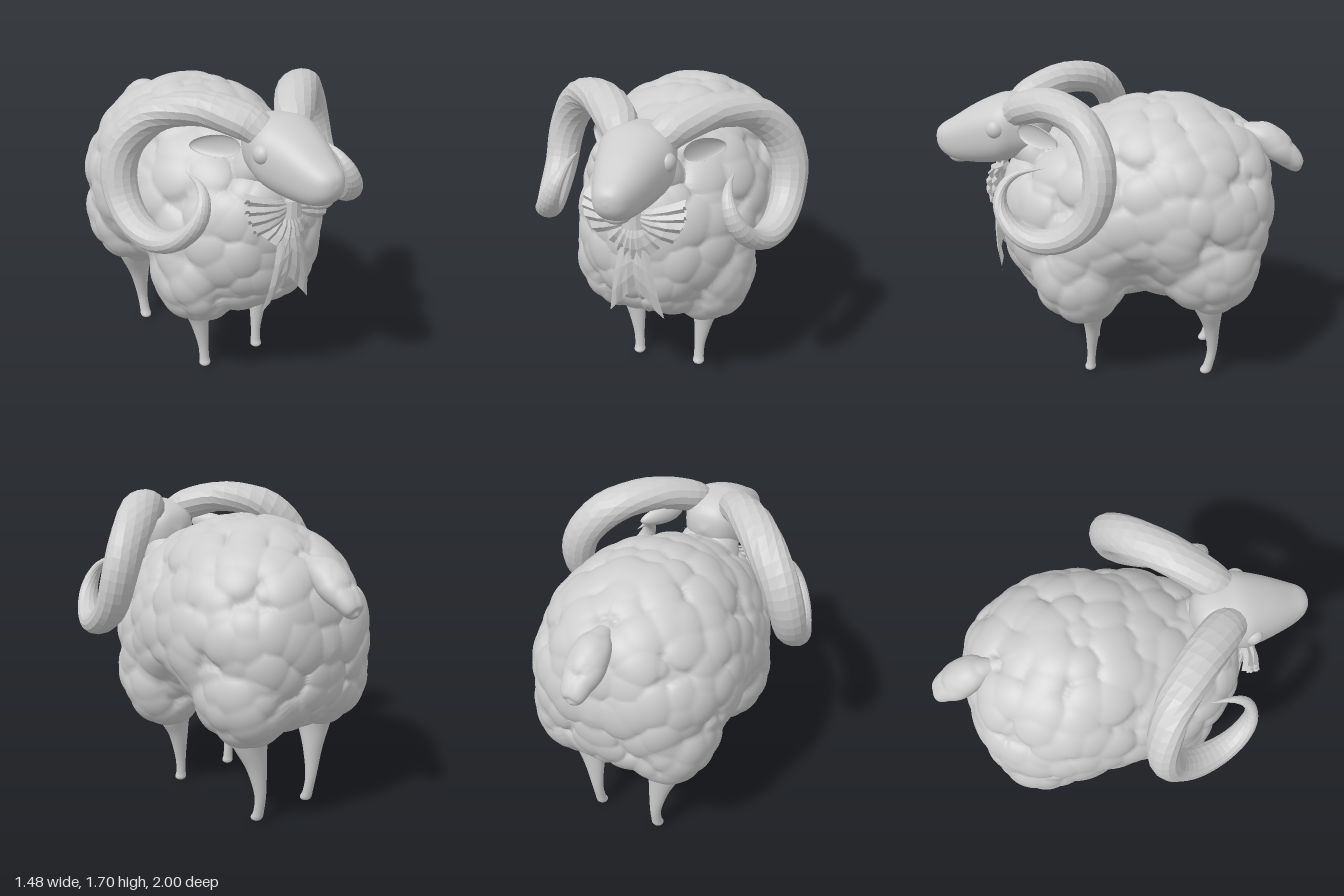
import * as THREE from 'three';
import { mergeVertices } from 'three/addons/utils/BufferGeometryUtils.js';

const V = (x, y, z) => new THREE.Vector3(x, y, z);
const smooth = new THREE.MeshStandardMaterial({ color: 0xcccccc });
const faceted = new THREE.MeshStandardMaterial({ color: 0xcccccc, flatShading: true });
const ribbon = new THREE.MeshStandardMaterial({ color: 0xcccccc, flatShading: true, side: THREE.DoubleSide });

// Skin through oval sections; keys are [x, y, z, sideRadius, upRadius]
function loft(keys, rings, sides, axis = null, power = 1) {
  const path = new THREE.CatmullRomCurve3(keys.map(k => V(k[0], k[1], k[2])), false, 'catmullrom', 0.5);
  const radii = new THREE.CatmullRomCurve3(keys.map(k => V(k[3], k[4], 0)), false, 'catmullrom', 0.5);
  const pos = [], index = [];
  const bend = v => Math.sign(v) * Math.abs(v) ** power;
  for (let i = 0; i <= rings; i++) {
    const c = path.getPoint(i / rings), r = radii.getPoint(i / rings);
    const T = axis || path.getTangent(i / rings);
    const S = V(1, 0, 0).addScaledVector(T, -T.x).normalize();
    const U = T.clone().cross(S);
    for (let j = 0; j < sides; j++) {
      const a = j / sides * Math.PI * 2;
      const p = c.clone().addScaledVector(S, bend(Math.cos(a)) * Math.max(r.x, 0))
        .addScaledVector(U, bend(Math.sin(a)) * Math.max(r.y, 0));
      pos.push(p.x, p.y, p.z);
      if (i < rings) {
        const k = i * sides, n = (j + 1) % sides;
        index.push(k + j, k + n, k + sides + n, k + j, k + sides + n, k + sides + j);
      }
    }
  }
  const g = new THREE.BufferGeometry();
  g.setAttribute('position', new THREE.Float32BufferAttribute(pos, 3));
  g.setIndex(index);
  return weld(g);
}

function weld(g) {
  g.deleteAttribute('normal');
  g.deleteAttribute('uv');
  const w = mergeVertices(g, 1e-5);
  w.computeVertexNormals();
  return w;
}

// Repeatable value in 0..1 for a grid cell
function hash(x, y, z, k) {
  const h = Math.sin(x * 127.1 + y * 311.7 + z * 74.7 + k * 53.3) * 43758.5453;
  return h - Math.floor(h);
}

// Distance to the nearest wool curl centre
function curlDistance(x, y, z, cell) {
  const c = [x, y, z].map(v => Math.floor(v / cell));
  let best = 9;
  for (let i = -1; i < 2; i++) for (let j = -1; j < 2; j++) for (let k = -1; k < 2; k++) {
    const a = c[0] + i, b = c[1] + j, d = c[2] + k;
    best = Math.min(best, Math.hypot((a + hash(a, b, d, 1)) * cell - x,
      (b + hash(a, b, d, 2)) * cell - y, (d + hash(a, b, d, 3)) * cell - z));
  }
  return best;
}

// Puff a surface into rounded wool curls
function fluff(g, amount = 0.042, cell = 0.16) {
  const p = g.attributes.position, n = g.attributes.normal;
  for (let i = 0; i < p.count; i++) {
    const x = p.getX(i), y = p.getY(i), z = p.getZ(i);
    const d = curlDistance(Math.abs(x), y, z, cell) / (cell * 0.85);
    const h = amount * (Math.sqrt(Math.max(0, 1 - d * d)) - 0.75);
    p.setXYZ(i, x + n.getX(i) * h, y + n.getY(i) * h, z + n.getZ(i) * h);
  }
  g.computeVertexNormals();
  return g;
}

// Narrow the belly, then swell mirrored shoulders and thighs out of it
function addHaunches(g, haunches) {
  const p = g.attributes.position, midY = 0.97;
  for (let i = 0; i < p.count; i++) {
    const y = p.getY(i), z = p.getZ(i);
    const low = THREE.MathUtils.smoothstep(0.9 - y, 0, 0.2);
    const x = p.getX(i) * (1 - 0.16 * low * Math.exp(-(((z + 0.13) / 0.12) ** 2)));
    const reach = Math.hypot(x, y - midY) || 1;
    const dx = Math.abs(x) / reach, dy = (y - midY) / reach;
    let out = reach;
    for (const { center: [cx, cy, cz], radii: [rx, ry, rz] } of haunches) {
      const a = (dx / rx) ** 2 + (dy / ry) ** 2;
      const b = -dx * cx / rx ** 2 + dy * (midY - cy) / ry ** 2;
      const c = (cx / rx) ** 2 + ((midY - cy) / ry) ** 2 - 1 + ((z - cz) / rz) ** 2;
      if (b * b > a * c) out = Math.max(out, (Math.sqrt(b * b - a * c) - b) / a);
    }
    p.setXY(i, x * out / reach, midY + dy * out);
  }
  g.computeVertexNormals();
  return g;
}

function ball(center, radii) {
  return weld(new THREE.SphereGeometry(1, 32, 24).scale(...radii).translate(...center));
}

// Pleated cloth between two edges
function pleats(inner, outer, n, depth) {
  const a = new THREE.CatmullRomCurve3(inner), b = new THREE.CatmullRomCurve3(outer);
  const pos = [], index = [];
  for (let i = 0; i <= n; i++) {
    for (let j = 0; j < 4; j++) {
      const t = j / 3, p = a.getPoint(i / n).lerp(b.getPoint(i / n), t);
      pos.push(p.x, p.y, p.z + (i % 2 ? 1 : -1) * depth * t + 0.02 * Math.sin(Math.PI * t));
      const k = i * 4 + j;
      if (i < n && j < 3) index.push(k, k + 1, k + 5, k, k + 5, k + 4);
    }
  }
  const g = new THREE.BufferGeometry();
  g.setAttribute('position', new THREE.Float32BufferAttribute(pos, 3));
  g.setIndex(index);
  g.computeVertexNormals();
  return g;
}

export function createModel() {
  const model = new THREE.Group();
  const add = (name, geometry, material = smooth) => {
    const m = new THREE.Mesh(geometry, material);
    m.name = name;
    model.add(m);
  };
  const forward = V(0, 0, 1);

  // Woolly body: [z, top, bottom, halfWidth] from rump to chest
  const body = loft([
    [-0.845, 1, 1, 0], [-0.82, 1.2, 0.78, 0.23], [-0.75, 1.38, 0.62, 0.38], [-0.6, 1.5, 0.52, 0.495],
    [-0.4, 1.58, 0.48, 0.56], [-0.2, 1.605, 0.475, 0.555], [0, 1.57, 0.47, 0.535], [0.2, 1.49, 0.42, 0.5],
    [0.4, 1.38, 0.45, 0.42], [0.54, 1.3, 0.56, 0.31], [0.615, 1.18, 0.7, 0.2], [0.648, 0.95, 0.95, 0],
  ].map(([z, t, b, w]) => [0, (t + b) / 2, z, w, (t - b) / 2]), 180, 200, forward);
  add('body', fluff(addHaunches(body, [
    { center: [0.25, 0.72, 0.2], radii: [0.25, 0.345, 0.275] },
    { center: [0.26, 0.79, -0.49], radii: [0.26, 0.325, 0.29] },
  ])));
  add('neck', fluff(loft([[0, 1.27, 0.42, 0.19, 0.15], [0, 1.32, 0.47, 0.165, 0.13],
    [0, 1.37, 0.53, 0.13, 0.11]], 20, 40), 0.025, 0.12));
  add('tail', fluff(loft([[0, 1.4, -0.66, 0.05, 0.05], [0, 1.385, -0.76, 0.09, 0.075],
    [0, 1.33, -0.85, 0.1, 0.08], [0, 1.265, -0.93, 0.075, 0.06], [0, 1.22, -0.975, 0.05, 0.038],
    [0, 1.21, -0.998, 0, 0]], 48, 40), 0.02, 0.12));

  // Head, with muzzle details
  add('head', loft([
    [0, 1.44, 0.36, 0, 0], [0, 1.445, 0.39, 0.1, 0.09], [0, 1.435, 0.46, 0.155, 0.15],
    [0, 1.43, 0.55, 0.185, 0.17], [0, 1.42, 0.62, 0.198, 0.18], [0, 1.4, 0.7, 0.178, 0.175],
    [0, 1.375, 0.8, 0.147, 0.152], [0, 1.35, 0.9, 0.11, 0.115], [0, 1.35, 0.96, 0.08, 0.08],
    [0, 1.355, 0.99, 0.045, 0.045], [0, 1.355, 1, 0, 0]], 60, 48, forward, 0.85));
  add('chin', ball([0, 1.255, 0.875], [0.072, 0.04, 0.065]));

  for (const s of [1, -1]) {
    const side = s > 0 ? 'left' : 'right';
    add(side + 'Eye', ball([s * 0.168, 1.45, 0.645], [0.045, 0.05, 0.05]));

    // Cupped ear: the outer half of a ball pushed inwards, narrowing to the tip
    const ear = ball([0, 0, 0], [0.135, 0.058, 0.045]), p = ear.attributes.position;
    for (let i = 0; i < p.count; i++) {
      p.setY(i, p.getY(i) * (1 - 1.5 * p.getX(i)));
      if (p.getZ(i) > 0) p.setZ(i, -0.55 * p.getZ(i));
    }
    const along = V(s * 0.56, -0.1, -0.82).normalize();
    const open = V(s * 0.82, 0, 0.56).normalize();
    ear.applyMatrix4(new THREE.Matrix4().makeBasis(along, open.clone().cross(along), open)
      .setPosition(s * 0.285, 1.445, 0.41));
    ear.computeVertexNormals();
    add(side + 'Ear', ear);

    // Curled horn
    add(side + 'Horn', loft([
      [0.1, 1.52, 0.55, 0.085, 0.08], [0.155, 1.57, 0.475, 0.105, 0.088], [0.29, 1.615, 0.325, 0.108, 0.086],
      [0.45, 1.575, 0.165, 0.106, 0.085], [0.575, 1.45, 0.08, 0.102, 0.084], [0.635, 1.3, 0.068, 0.098, 0.083],
      [0.645, 1.15, 0.12, 0.092, 0.077], [0.635, 1.045, 0.235, 0.086, 0.069], [0.6, 1.005, 0.375, 0.076, 0.06],
      [0.555, 1.04, 0.495, 0.065, 0.05], [0.5, 1.13, 0.573, 0.052, 0.039], [0.455, 1.23, 0.572, 0.037, 0.028],
      [0.43, 1.3, 0.5, 0.02, 0.017], [0.425, 1.33, 0.36, 0, 0],
    ].map(k => [s * k[0], ...k.slice(1)]), 44, 14), faceted);

    // Slim legs
    const leg = (name, rows) => add(side + name, loft(rows.map(k => [s * k[0], ...k.slice(1)]), 40, 24, V(0, -1, 0)));
    leg('FrontLeg', [[0.24, 0.46, 0.135, 0.11, 0.085], [0.23, 0.39, 0.14, 0.085, 0.065], [0.207, 0.3, 0.142, 0.057, 0.045],
      [0.188, 0.15, 0.15, 0.032, 0.027], [0.183, 0.06, 0.155, 0.029, 0.025], [0.183, 0.02, 0.16, 0.031, 0.03],
      [0.183, 0, 0.16, 0, 0]]);
    leg('HindLeg', [[0.245, 0.52, -0.495, 0.12, 0.105], [0.235, 0.44, -0.51, 0.095, 0.075], [0.21, 0.32, -0.53, 0.06, 0.046],
      [0.192, 0.17, -0.54, 0.034, 0.029], [0.187, 0.07, -0.525, 0.03, 0.027], [0.187, 0.02, -0.507, 0.031, 0.031],
      [0.187, 0, -0.505, 0, 0]]);

    // Bow loop, front and back layers
    for (const back of [0, 0.03]) {
      add(side + 'BowLoop', pleats(
        [V(s * 0.03, 1.18, 0.68 - back), V(s * 0.03, 1.15, 0.69 - back), V(s * 0.03, 1.11, 0.68 - back)],
        [V(s * 0.255, 1.26, 0.66 - back), V(s * 0.265, 1.16, 0.68 - back), V(s * 0.2, 1.03, 0.67 - back)],
        8, 0.011), ribbon);
    }

    // Hanging ribbon end
    add(side + 'BowTail', pleats(
      [V(0, 1, 0.68), V(s * 0.04, 0.99, 0.69), V(s * 0.08, 0.97, 0.67)],
      [V(0, 0.76, 0.67), V(s * 0.075, 0.67, 0.66), V(s * 0.15, 0.58, 0.65)], 4, 0.006), ribbon);
  }

  // Bow knot and the ruffle beneath it
  add('bowKnot', new THREE.CylinderGeometry(0.045, 0.055, 0.09, 10).scale(1, 1, 0.7).translate(0, 1.145, 0.68), faceted);
  add('bowRuffle', pleats([V(-0.04, 1.12, 0.66), V(0, 1.1, 0.68), V(0.04, 1.12, 0.66)],
    [V(-0.16, 1.02, 0.64), V(-0.08, 0.95, 0.67), V(0, 0.93, 0.69), V(0.08, 0.95, 0.67), V(0.16, 1.02, 0.64)],
    14, 0.012), ribbon);
  return model;
}
